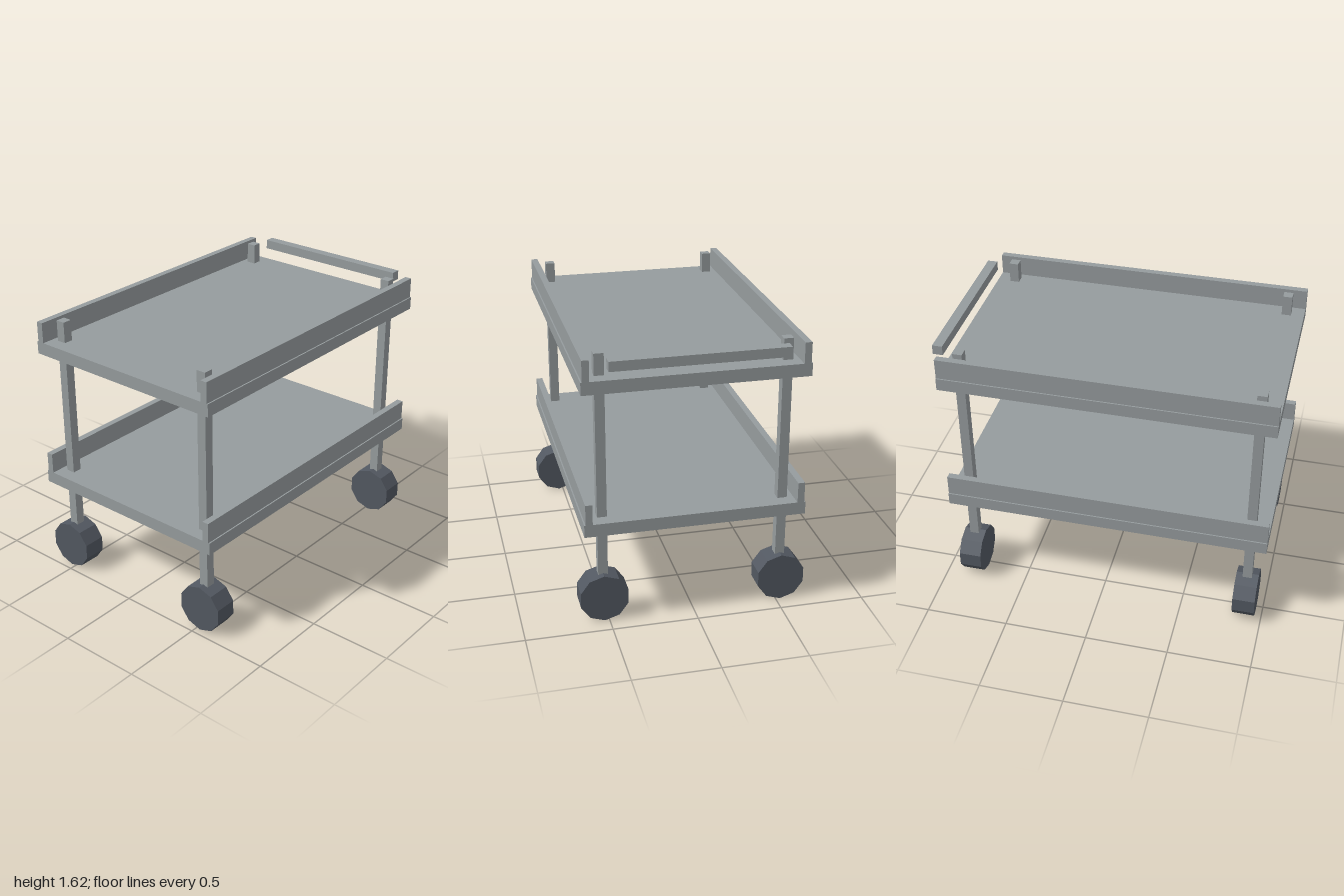
import * as THREE from 'three';

export function createModel() {
  const cart = new THREE.Group();
  cart.name = 'serviceCart';

  const metal = new THREE.MeshStandardMaterial({ color: 0x959b9d });
  metal.name = 'grey metal';
  const rubber = new THREE.MeshStandardMaterial({ color: 0x525861 });
  rubber.name = 'dark rubber';

  // Box given by its lower and upper limits on each axis
  function box(name, [x0, x1], [y0, y1], [z0, z1]) {
    const mesh = new THREE.Mesh(new THREE.BoxGeometry(x1 - x0, y1 - y0, z1 - z0), metal);
    mesh.position.set((x0 + x1) / 2, (y0 + y1) / 2, (z0 + z1) / 2);
    mesh.name = name;
    cart.add(mesh);
  }

  // Two shelves, each with a raised rail along both long sides
  for (const [name, y] of [['lower', 0.575], ['upper', 1.42]]) {
    box(name + 'Shelf', [-1, 0.94], [y, y + 0.075], [-0.64, 0.64]);
    box(name + 'FrontRail', [-1, 0.94], [y + 0.075, y + 0.197], [0.592, 0.632]);
    box(name + 'BackRail', [-1, 0.94], [y + 0.075, y + 0.197], [-0.632, -0.592]);
  }

  // Push handle beyond the left end
  box('handle', [0.94, 1], [1.565, 1.622], [-0.5, 0.5]);

  // Four posts, each standing on a ten-sided wheel
  const wheelShape = new THREE.CylinderGeometry(0.145, 0.145, 0.135, 10, 1, false, Math.PI / 2)
    .rotateZ(Math.PI / 2).toNonIndexed();
  wheelShape.computeVertexNormals();
  for (const x of [-0.893, 0.832]) {
    for (const z of [-0.526, 0.526]) {
      box('post', [x - 0.028, x + 0.028], [0.2, 1.62], [z - 0.028, z + 0.028]);
      const wheel = new THREE.Mesh(wheelShape, rubber);
      wheel.position.set(x, 0.145, z);
      wheel.name = 'wheel';
      cart.add(wheel);
    }
  }
  return cart;
}
